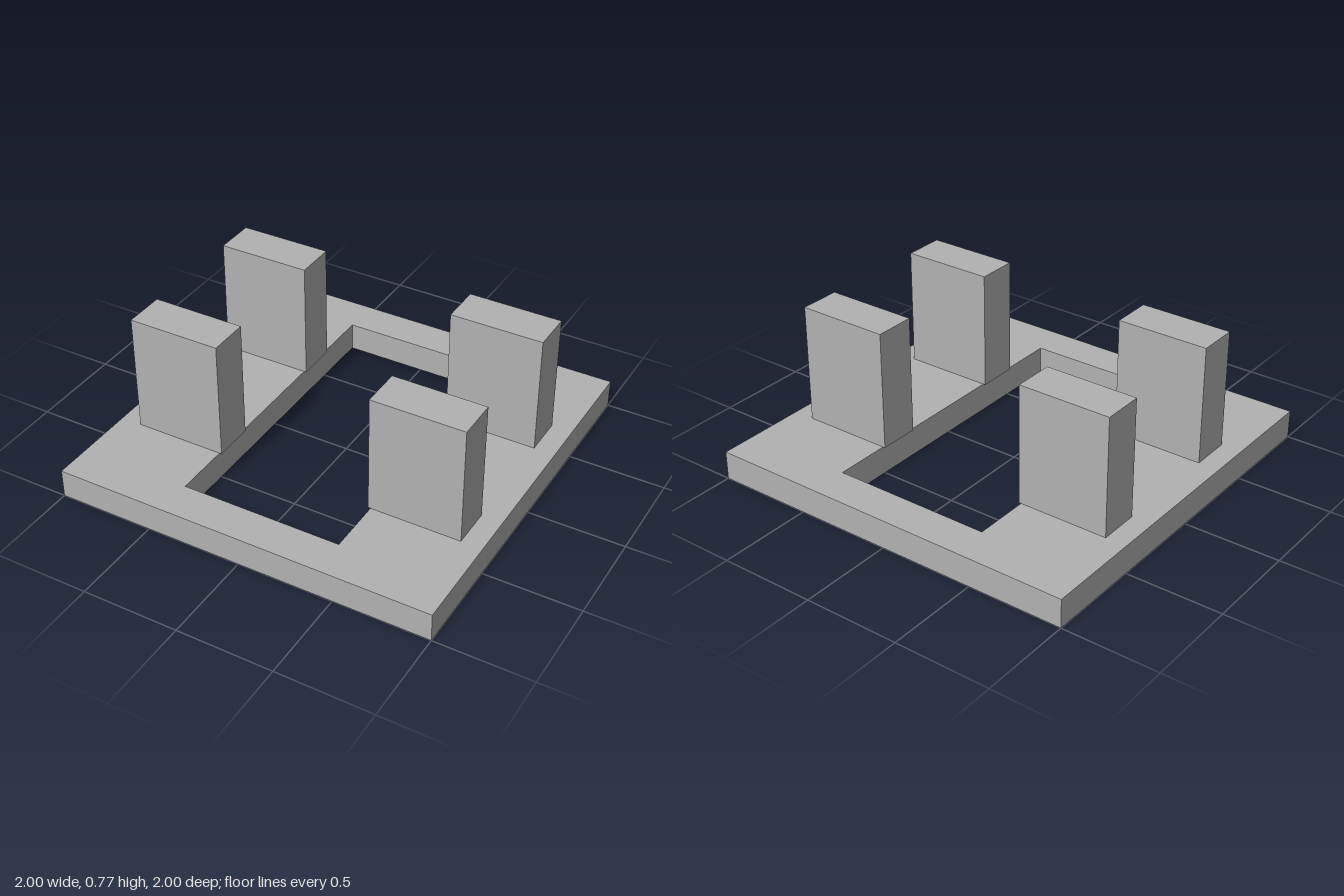
import * as THREE from 'three';

export function createModel() {
  const model = new THREE.Group();
  const grey = new THREE.MeshStandardMaterial({ color: 0xb2b2b2 });
  grey.name = 'grey';

  const baseHeight = 0.15;
  const postTop = 0.77;

  // Square base plate with a rectangular opening
  const outline = new THREE.Shape([[-1, -1], [1, -1], [1, 1], [-1, 1]].map(([x, y]) => new THREE.Vector2(x, y)));
  outline.holes.push(new THREE.Path(
    [[-0.42, -0.8], [-0.42, 0.8], [0.42, 0.8], [0.42, -0.8]].map(([x, y]) => new THREE.Vector2(x, y))
  ));
  const baseGeometry = new THREE.ExtrudeGeometry(outline, { depth: baseHeight, bevelEnabled: false });
  baseGeometry.rotateX(-Math.PI / 2);
  const base = new THREE.Mesh(baseGeometry, grey);
  base.name = 'basePlate';
  model.add(base);

  // Four upright posts, slightly overhanging the opening
  const postGeometry = new THREE.BoxGeometry(0.483, postTop - baseHeight, 0.214);
  for (const [sideName, sx] of [['left', 1], ['right', -1]]) {
    for (const [endName, sz] of [['Front', 1], ['Back', -1]]) {
      const post = new THREE.Mesh(postGeometry, grey);
      post.name = `${sideName}${endName}Post`;
      post.position.set(sx * 0.649, (postTop + baseHeight) / 2, sz * 0.399);
      model.add(post);
    }
  }

  return model;
}
